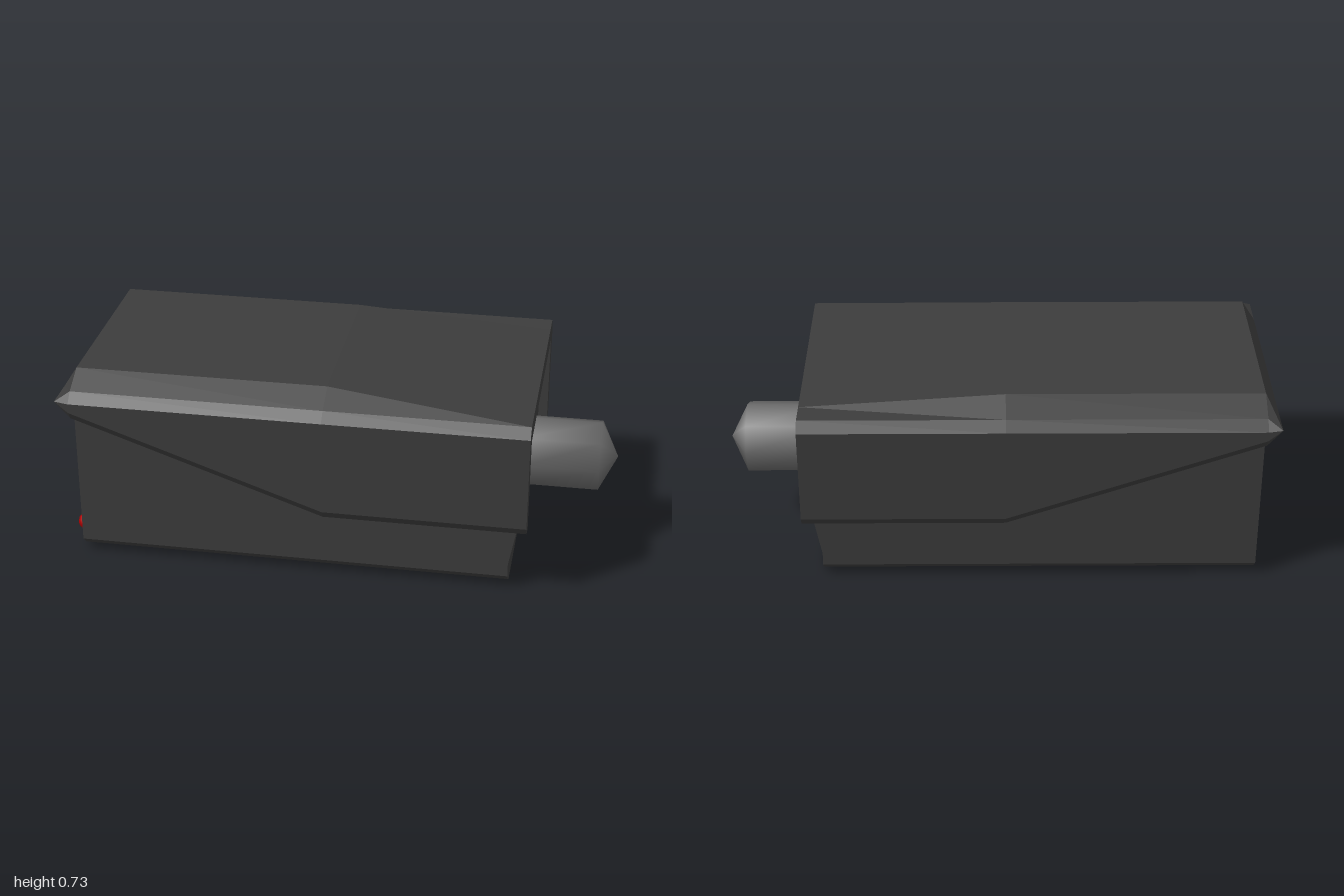
import * as THREE from 'three';

const paint = (color, extra = {}) => {
  const m = new THREE.MeshStandardMaterial({ color });
  return Object.assign(m, extra);
};

// Skin between rings of [x, y, z] points; optional fan caps for convex ends
function loft(rings, caps = false) {
  const pos = [];
  const tri = (...pts) => pts.forEach((p) => pos.push(...p));
  const n = rings[0].length;
  for (let r = 0; r < rings.length - 1; r++) {
    const a = rings[r], b = rings[r + 1];
    for (let i = 0; i < n; i++) {
      const j = (i + 1) % n;
      tri(a[i], a[j], b[j]);
      tri(a[i], b[j], b[i]);
    }
  }
  if (caps) {
    const a = rings[0], b = rings[rings.length - 1];
    for (let i = 1; i < n - 1; i++) {
      tri(a[0], a[i + 1], a[i]);
      tri(b[0], b[i], b[i + 1]);
    }
  }
  const g = new THREE.BufferGeometry();
  g.setAttribute('position', new THREE.Float32BufferAttribute(pos, 3));
  g.computeVertexNormals();
  return g;
}

// Complete a half outline of [z, y] points by mirroring it across z = 0
const mirror = (half) => [...half, ...half.map(([z, y]) => [-z, y]).reverse()];
const shapeOf = (pts) => new THREE.Shape(pts.map(([a, b]) => new THREE.Vector2(a, b)));

// Lens opening outline, scaled about its centre
const hexagon = (s) => mirror([[0.245, -0.27], [0.385, 0], [0.245, 0.27]])
  .map(([z, y]) => [z * s, 0.305 + y * s]);

// Plate in the z-y plane with a hole, from x = -0.89 forward to -x
function plate(outline, hole, depth) {
  const s = shapeOf(outline);
  s.holes.push(shapeOf(hole));
  return new THREE.ExtrudeGeometry(s, { depth, bevelEnabled: false })
    .rotateY(-Math.PI / 2).translate(-0.89, 0, 0);
}

export function createModel() {
  const group = new THREE.Group();
  const dark = paint(0x3c3c3c, { flatShading: true });
  const add = (name, geometry, material) => {
    const m = new THREE.Mesh(geometry, material);
    m.name = name;
    group.add(m);
    return m;
  };

  // Housing: rectangles stacked upward, [y, half width, rear x]
  const levels = [[0, 0.36, 0.64], [0.02, 0.395, 0.64], [0.05, 0.425, 0.64],
    [0.1, 0.425, 0.64], [0.26, 0.425, 0.67], [0.61, 0.425, 0.67]];
  add('housing', loft(levels.map(([y, w, b]) => [
    [b, y, w], [b, y, -w], [-0.89, y, -w], [-0.89, y, w],
  ]), true), dark);

  // Front bezel around the lens opening
  const face = mirror([[0.36, 0], [0.395, 0.02], [0.425, 0.05], [0.425, 0.61]]);
  add('frontBezel', plate(face, hexagon(0.99), 0.06), dark);

  // Lens rim, tapered recess and dark glass
  add('lensRim', plate(hexagon(1), hexagon(0.95), 0.062), paint(0x660055));
  const hexRing = (s, x) => hexagon(s).map(([z, y]) => [x, y, z]);
  add('lensRecess', loft([hexRing(0.95, -0.951), hexRing(0.85, -0.892)]),
    paint(0x3c3c3c, { flatShading: true, side: THREE.DoubleSide }));
  add('lensGlass', new THREE.ShapeGeometry(shapeOf(hexagon(0.86)))
    .rotateY(-Math.PI / 2).translate(-0.893, 0, 0), paint(0x080808));

  // Sun hood: channel section running from the rear to a pointed visor
  const channel = (bottom, top) => mirror([[0.425, 0.61], [0.425, bottom], [0.47, bottom],
    [0.49, bottom + 0.03], [0.49, 0.645], [0.455, 0.68], [0.36, top]]);
  const at = (x, pts) => pts.map(([z, y]) => [x, y, z]);
  const visorTip = channel(0.58, 0.73)
    .map(([z]) => [Math.abs(z) > 0.43 ? Math.sign(z) * 0.49 : z, 0.652]);
  add('sunHood', loft([
    at(0.705, channel(0.26, 0.68)),
    at(-0.03, channel(0.26, 0.73)),
    at(-0.95, channel(0.58, 0.73)),
    at(-1, visorTip),
  ]), dark);
  add('hoodRearEdge', new THREE.ShapeGeometry(shapeOf(channel(0.26, 0.68)))
    .rotateY(Math.PI / 2).translate(0.705, 0, 0), dark);

  // Rear mounting stub with a conical end
  const stub = [[0.135, 0], [0.135, 0.28], [0, 0.345]].map(([r, h]) => new THREE.Vector2(r, h));
  add('mountStub', new THREE.LatheGeometry(stub, 8).rotateZ(-Math.PI / 2)
    .translate(0.655, 0.35, 0), paint(0x666666));

  // Indicator light
  add('indicatorLight', new THREE.SphereGeometry(0.034, 12, 8)
    .translate(-0.95, 0.09, 0.36), paint(0xaa0000));

  return group;
}
